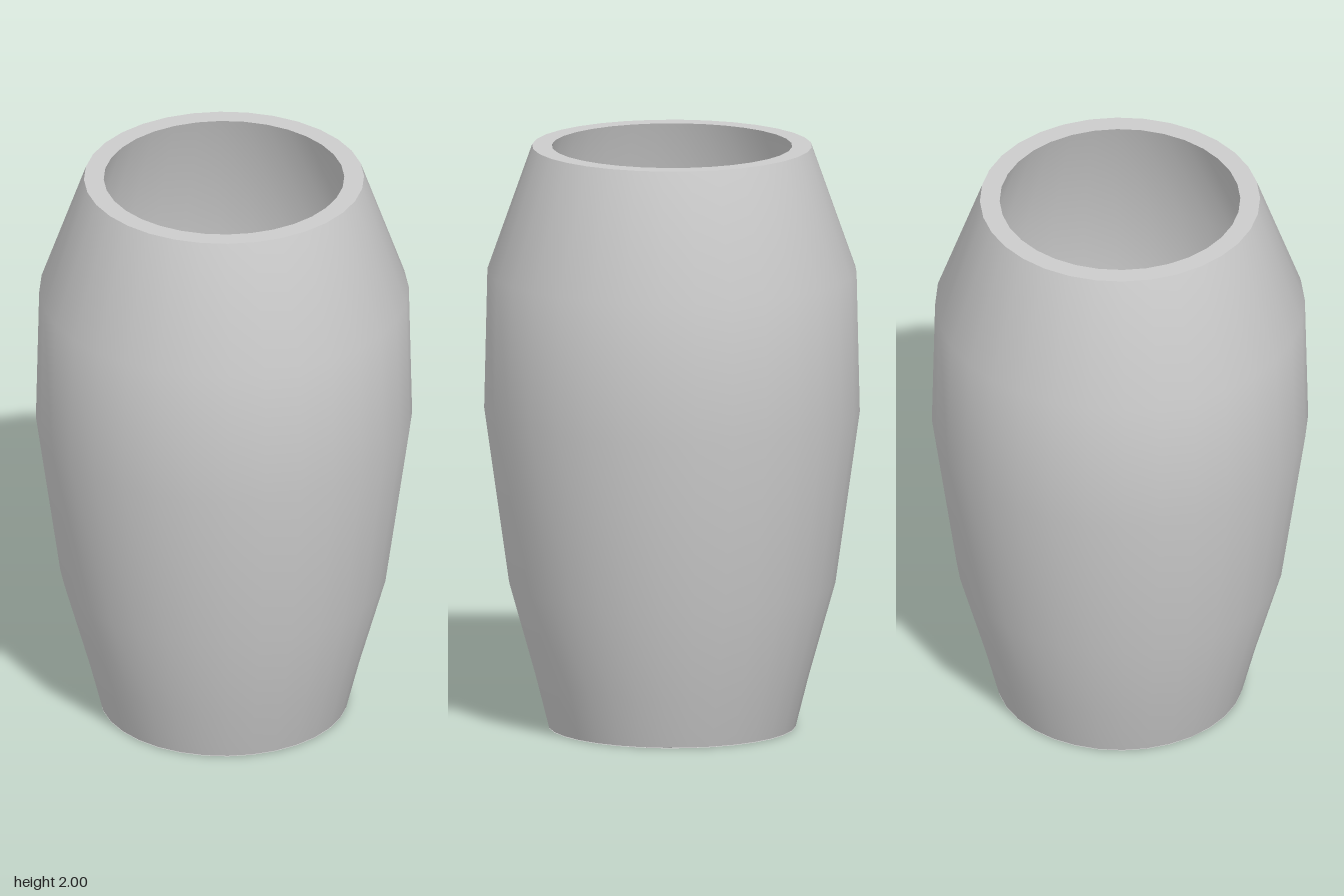
import * as THREE from 'three';

const SIDES = 32;

// Revolved part from a list of [radius, height] points
function turned(name, points) {
  const profile = points.map(([r, y]) => new THREE.Vector2(r, y));
  const material = new THREE.MeshStandardMaterial({ color: 0xcccccc, side: THREE.DoubleSide });
  const mesh = new THREE.Mesh(new THREE.LatheGeometry(profile, SIDES), material);
  mesh.name = name;
  return mesh;
}

export function createModel() {
  const vase = new THREE.Group();
  vase.name = 'vase';

  // Outer wall; the short first step softens the shading at the foot
  vase.add(turned('outerWall', [
    [0.41, 0], [0.42, 0.002], [0.465, 0.18], [0.555, 0.5],
    [0.638, 1.09], [0.627, 1.57], [0.475, 2],
  ]));

  // Flat lip around the mouth
  vase.add(turned('rim', [[0.475, 2], [0.408, 2]]));

  // Hollow inside, running down to a rounded floor
  vase.add(turned('innerWall', [
    [0.408, 2], [0.56, 1.56], [0.572, 1.09], [0.49, 0.52],
    [0.4, 0.27], [0.23, 0.13], [0, 0.08],
  ]));

  // Flat underside
  vase.add(turned('base', [[0, 0], [0.42, 0]]));

  return vase;
}
